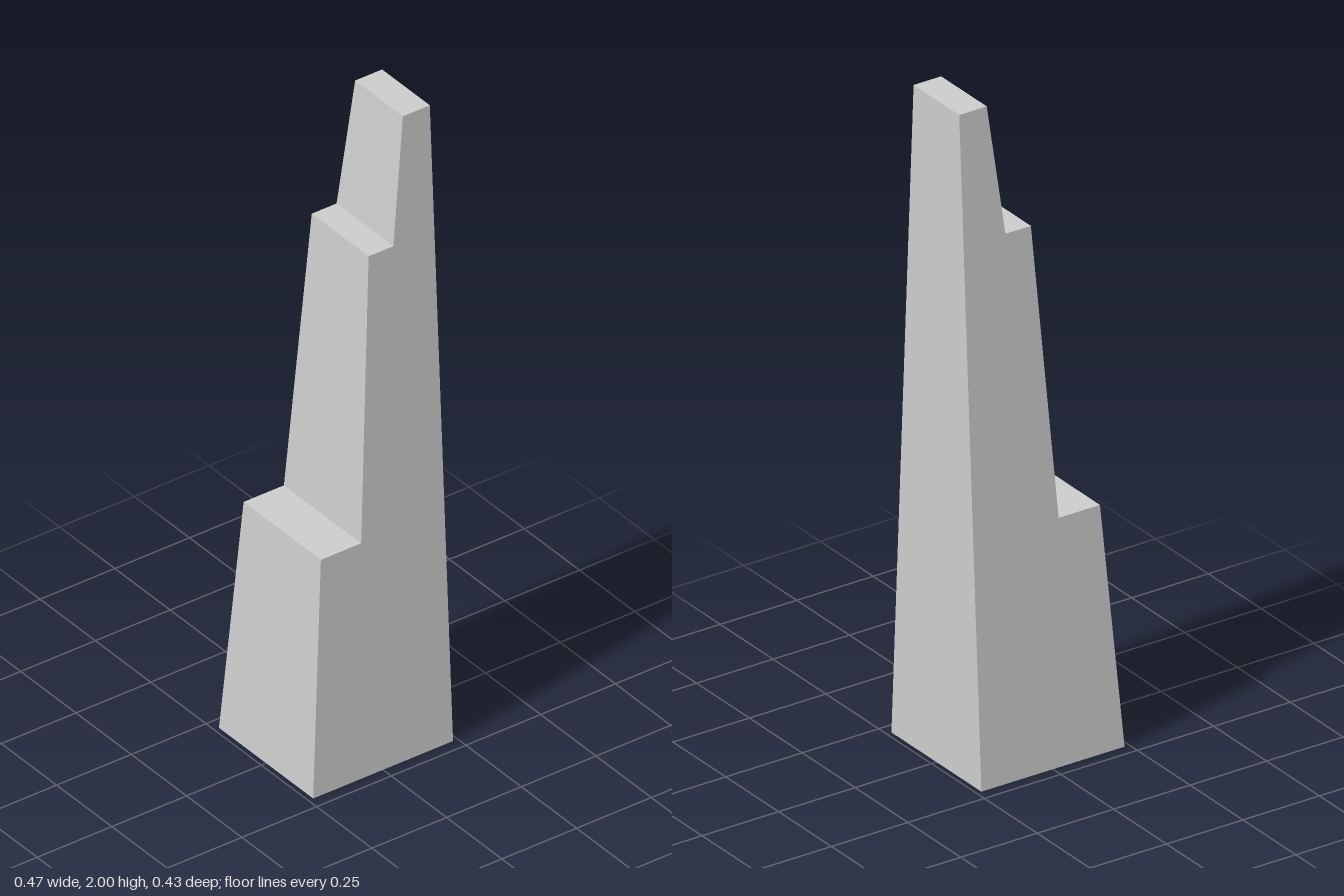
import * as THREE from 'three';

export function createModel() {
  const group = new THREE.Group();

  // Stepped side profile: upright on +x, setbacks on -x
  const profile = [
    [-0.234, 0], [0.234, 0], [0.234, 2], [0.144, 2],
    [0.097, 1.61], [0.014, 1.61], [-0.045, 0.73], [-0.18, 0.73],
  ];
  const shape = new THREE.Shape(profile.map(([x, y]) => new THREE.Vector2(x, y)));
  const geometry = new THREE.ExtrudeGeometry(shape, { depth: 2, bevelEnabled: false });
  geometry.translate(0, 0, -1);

  // Front and back lean inwards evenly towards the top
  const pos = geometry.attributes.position;
  for (let i = 0; i < pos.count; i++) {
    const halfDepth = THREE.MathUtils.lerp(0.213, 0.108, pos.getY(i) / 2);
    pos.setZ(i, pos.getZ(i) * halfDepth);
  }
  geometry.computeVertexNormals();

  const material = new THREE.MeshStandardMaterial({ color: 0xcccccc, flatShading: true });
  const tower = new THREE.Mesh(geometry, material);
  tower.name = 'steppedTower';
  group.add(tower);
  return group;
}
